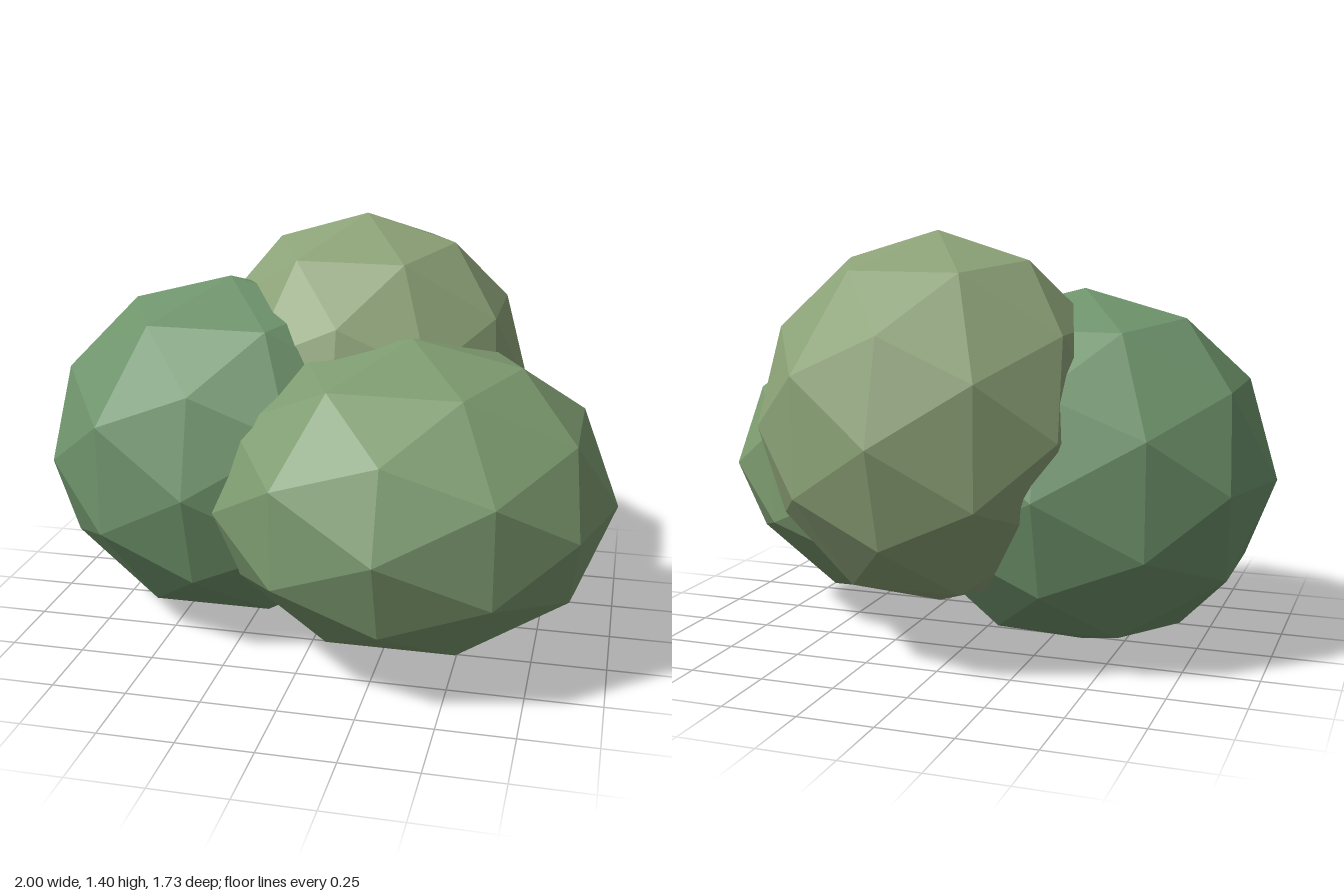
import * as THREE from 'three';

// One faceted leafy clump: a stretched, subdivided icosahedron
function clump(name, color, center, radii) {
  const geometry = new THREE.IcosahedronGeometry(1, 1);
  geometry.scale(...radii);
  geometry.computeVertexNormals();
  const material = new THREE.MeshStandardMaterial({ color, flatShading: true });
  const mesh = new THREE.Mesh(geometry, material);
  mesh.name = name;
  mesh.position.set(...center);
  return mesh;
}

export function createModel() {
  const bush = new THREE.Group();
  bush.name = 'bush';
  bush.add(
    clump('rightClump', 0x6f946c, [-0.35, 0.607, -0.02], [0.65, 0.605, 0.603]),
    clump('frontClump', 0x7d9b70, [0.32, 0.565, 0.2], [0.68, 0.518, 0.665]),
    clump('rearClump', 0x8ca277, [0.08, 0.785, -0.26], [0.59, 0.62, 0.605]),
  );
  return bush;
}
